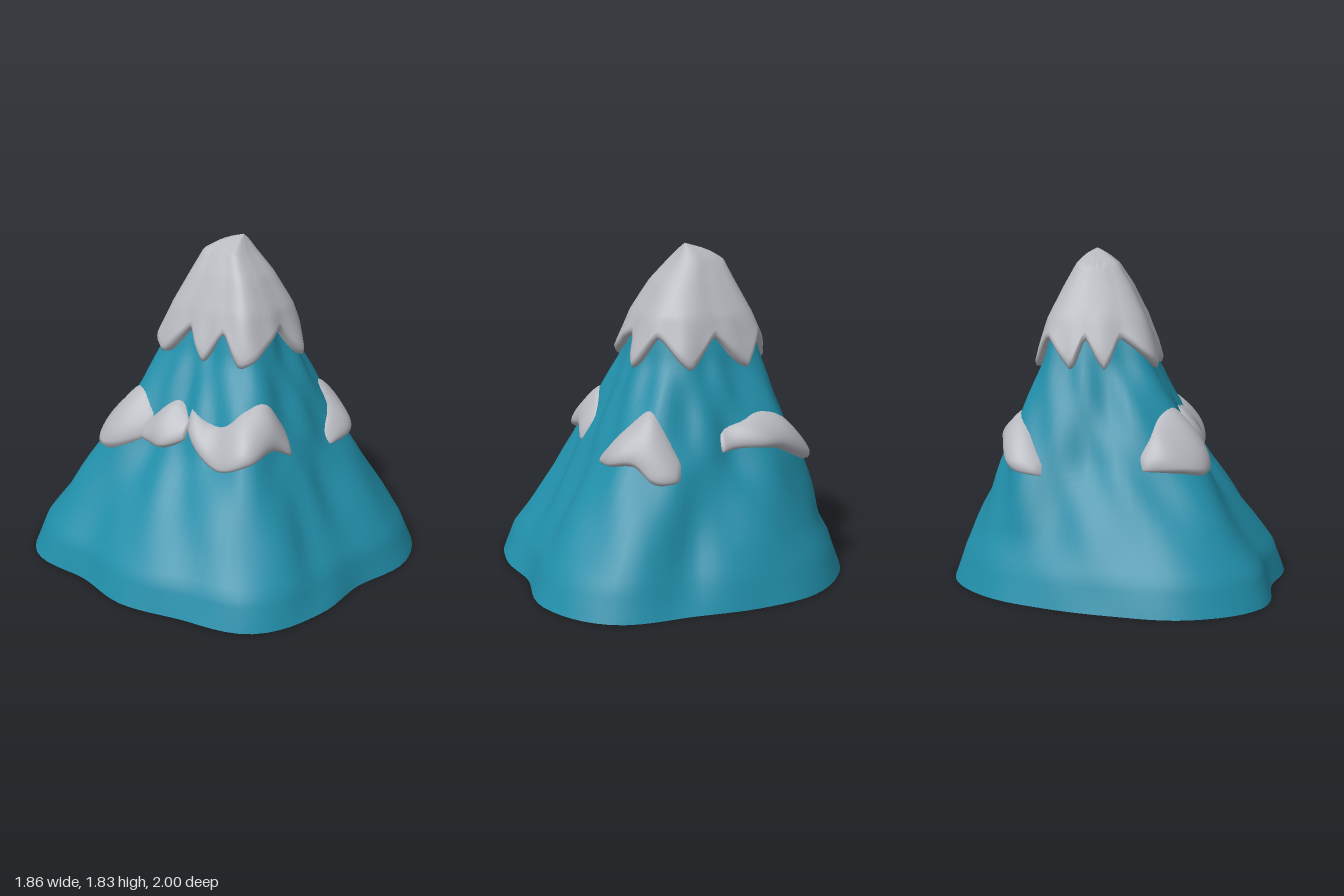
import * as THREE from 'three';

// Mountain outlines: 16 radii from +x round towards +z
const FOOT = [.93, .95, 1.11, 1.08, .93, 1.0, 1.07, .94, .93, .91, 1.09, 1.07, .95, .91, .94, .96];
const WAIST = [.53, .58, .65, .63, .57, .6, .67, .56, .51, .56, .69, .64, .57, .58, .66, .6];
const NECK = [.31, .33, .35, .36, .34, .36, .39, .32, .3, .32, .4, .37, .36, .38, .4, .34];

// Levels going up: outline, its scale, height, centre x, centre z
const LEVELS = [
  [FOOT, 1, 0, 0, 0], [FOOT, .94, .16, 0, 0], [FOOT, .85, .3, .02, 0], [WAIST, 1, .7, .07, 0],
  [NECK, 1, 1.2, .11, 0], [NECK, .79, 1.45, .12, 0], [NECK, .56, 1.62, .12, -.01],
  [NECK, .36, 1.74, .125, -.035], [NECK, .2, 1.79, .135, -.01], [NECK, 0, 1.825, .14, .04],
];

// Angles of the cap rim's low tips and high notches, in turn
const RIM = [25, 56, 75, 97, 140, 155, 175, 197, 218, 248, 264, 280, 290, 313, 333, 360];

// Snow patches: columns of angle in degrees, lower edge, upper edge
const PATCHES = {
  frontRightSnowPatch: [[108, .68, .88], [122, .76, 1.02], [136, .73, .99], [151, .67, .9], [178, .83, .99]],
  rightSnowPatch: [[174, .76, .9], [191, .71, .97], [207, .71, .87]],
  backRightSnowPatch: [[203, .72, .88], [219, .63, .99], [235, .65, .94], [251, .65, .76]],
  backLeftSnowPatch: [[300, .61, .7], [314, .64, .87], [331, .74, .95], [349, .76, .91], [366, .72, .88]],
  frontLeftSnowPatch: [[28, .61, .74], [40, .61, .91], [51, .7, .99], [65, .68, .87], [77, .67, .75]],
};

const { lerp, clamp, degToRad, radToDeg } = THREE.MathUtils;
const TURN = Math.PI * 2;

// Rounded radius between the 16 samples of an outline
function radiusAt(outline, angle) {
  const f = angle / TURN * 16, i = Math.floor(f), t = f - i;
  const [a, b, c, d] = [15, 16, 17, 18].map(k => outline[(i + k) % 16]);
  return b + .5 * t * (c - a + t * (2 * a - 5 * b + 4 * c - d + t * (3 * (b - c) + d - a)));
}

// Gully running down the lower slope at a given angle
function gully(angle, y, at) {
  return .05 * Math.sin(Math.PI * clamp(y / .7, 0, 1)) * Math.exp(-(((angle - at) / .13) ** 2));
}

// Point on the mountain, pushed outwards by an offset
function surface(angle, y, offset = 0) {
  const i = Math.max(0, LEVELS.findIndex(level => level[2] >= y - 1e-6) - 1);
  const [outlineA, scaleA, yA, xA, zA] = LEVELS[i];
  const [outlineB, scaleB, yB, xB, zB] = LEVELS[i + 1];
  const t = clamp((y - yA) / (yB - yA), 0, 1);
  const rough = .01 * Math.sin(Math.PI * Math.min(y / 1.5, 1)) *
    (Math.sin(9 * angle + 7 * y) + Math.sin(14 * angle - 9 * y));
  const r = lerp(scaleA * radiusAt(outlineA, angle), scaleB * radiusAt(outlineB, angle), t) +
    offset + rough - gully(angle, y, .4) - gully(angle, y, 1.92);
  return [lerp(xA, xB, t) + r * Math.cos(angle), y, lerp(zA, zB, t) + r * Math.sin(angle)];
}

// Grid of rows going up and columns going round
function gridGeometry(columns, rows, closed, point) {
  const positions = [], index = [];
  const stride = closed ? columns : columns + 1;
  for (let j = 0; j <= rows; j++) {
    for (let i = 0; i < stride; i++) positions.push(...point(i / columns, j / rows));
  }
  for (let j = 0; j < rows; j++) {
    for (let i = 0; i < columns; i++) {
      const a = j * stride + i, b = j * stride + (i + 1) % stride;
      index.push(a, a + stride, b, b, a + stride, b + stride);
    }
  }
  const geometry = new THREE.BufferGeometry();
  geometry.setAttribute('position', new THREE.Float32BufferAttribute(positions, 3));
  geometry.setIndex(index);
  geometry.computeVertexNormals();
  return geometry;
}

function rimHeight(angle) {
  const deg = radToDeg(angle);
  const i = RIM.findIndex(a => deg < a);
  const from = i ? RIM[i - 1] : 0;
  const t = (deg - from) / (RIM[i] - from);
  const ease = (t + t * t * (3 - 2 * t)) / 2;
  return lerp(1.18, 1.345, i % 2 ? ease : 1 - ease);
}

function patchGeometry(columns) {
  const curve = new THREE.CatmullRomCurve3(columns.map(c => new THREE.Vector3(...c)));
  return gridGeometry(32, 14, false, (u, v) => {
    const { x: deg, y: low, z: high } = curve.getPoint(u);
    // Thickest below the middle, sinking into the rock along every edge
    const along = Math.max(Math.sin(Math.PI * u), 0), across = Math.max(Math.sin(Math.PI * v ** .75), 0);
    const spread = .45 + .55 * along ** .3;
    const y = lerp((low + high) / 2, lerp(low, high, v), spread);
    return surface(degToRad(deg), y, -.02 + .085 * across ** .5 * along ** .35);
  });
}

export function createModel() {
  const rock = new THREE.MeshStandardMaterial({ name: 'teal rock', color: 0x218ea9 });
  const snow = new THREE.MeshStandardMaterial({ name: 'pale grey snow', color: 0xb6b8be });
  const group = new THREE.Group();
  group.name = 'mountain';
  const add = (name, geometry, material) => {
    const mesh = new THREE.Mesh(geometry, material);
    mesh.name = name;
    group.add(mesh);
  };

  // Rock slopes, ending out of sight under the cap
  add('rockSlopes', gridGeometry(96, 36, true, (u, v) => surface(u * TURN, v * 1.45)), rock);

  // Flat underside
  add('underside', gridGeometry(96, 1, true, (u, v) => {
    const [x, , z] = surface(u * TURN, 0);
    return [x * v, 0, z * v];
  }), snow);

  // Snow cap with a rolled, jagged rim
  add('snowCap', gridGeometry(120, 24, true, (u, v) => {
    const row = Math.round(v * 24);
    const y = lerp(rimHeight(u * TURN), 1.825, Math.max(0, (row - 1) / 23));
    const thickness = [-.03, .03, .05][Math.min(row, 2)];
    return surface(u * TURN, y, thickness * clamp((1.825 - y) / .55, 0, 1));
  }), snow);

  // Loose snow patches on the slopes
  for (const [name, columns] of Object.entries(PATCHES)) add(name, patchGeometry(columns), snow);
  return group;
}
